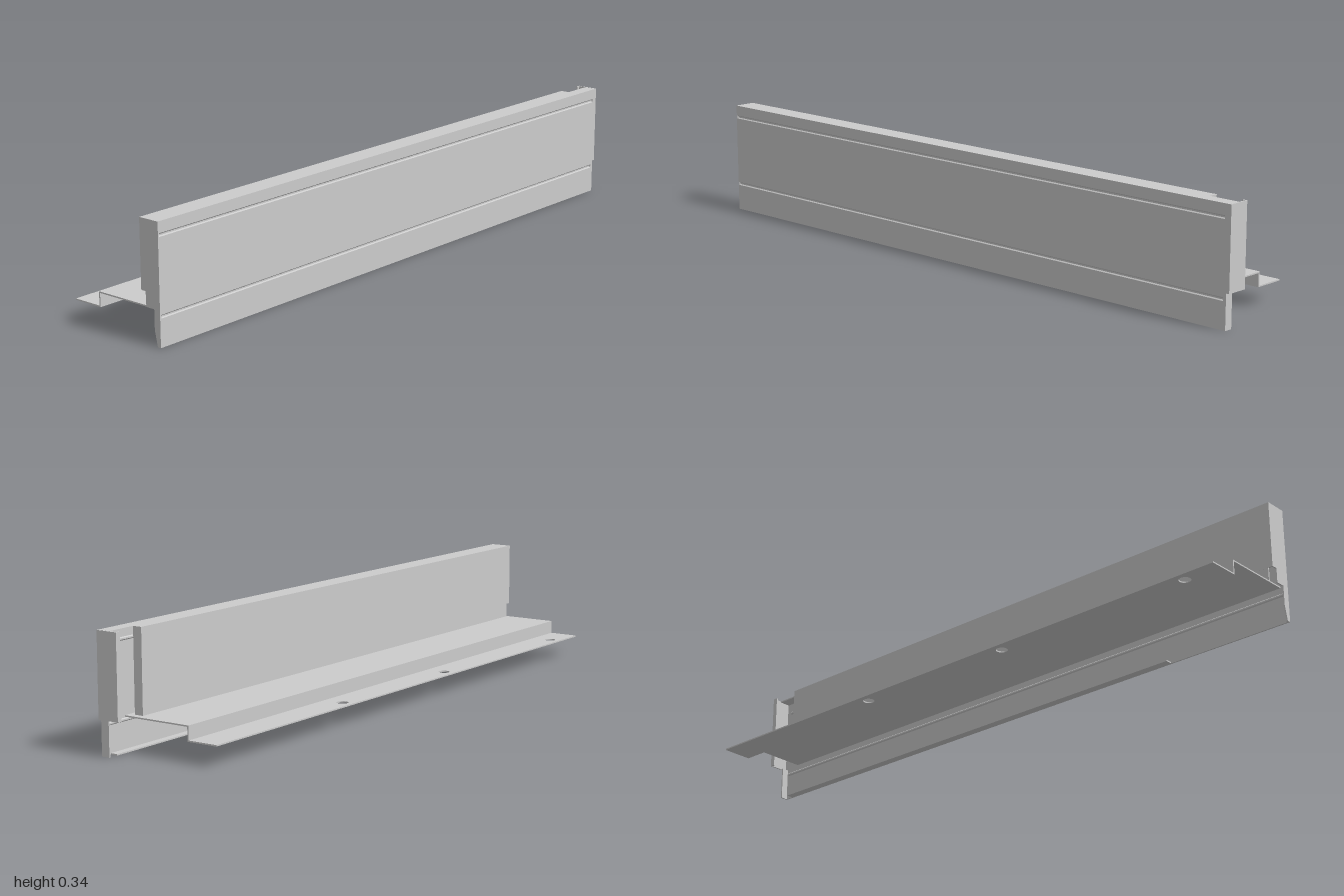
import * as THREE from 'three';

const material = new THREE.MeshStandardMaterial({ color: 0xcccccc, side: THREE.DoubleSide, flatShading: true });
const T = 0.004; // sheet thickness

export function createModel() {
  const group = new THREE.Group();

  const add = (name, geometry) => {
    const mesh = new THREE.Mesh(geometry, material);
    mesh.name = name;
    group.add(mesh);
  };
  const outline = (points) => new THREE.Shape(points.map(([x, y]) => new THREE.Vector2(x, y)));

  // Box given by its limits
  const box = (name, x0, x1, y0, y1, z0, z1) => {
    const g = new THREE.BoxGeometry(x1 - x0, y1 - y0, z1 - z0);
    g.translate((x0 + x1) / 2, (y0 + y1) / 2, (z0 + z1) / 2);
    add(name, g);
  };
  // Outline in x, y run along z
  const profile = (name, points, z0, z1) => {
    const g = new THREE.ExtrudeGeometry(outline(points), { depth: z1 - z0, bevelEnabled: false });
    g.translate(0, 0, z0);
    add(name, g);
  };
  // Flat sheet outlined in x, z with its upper face at the given height
  const flatSheet = (name, shape, top) => {
    const g = new THREE.ExtrudeGeometry(shape, { depth: T, bevelEnabled: false, curveSegments: 24 });
    g.rotateX(Math.PI / 2);
    g.translate(0, top, 0);
    add(name, g);
  };

  // Face panel with two pressed grooves
  const outer = [[0.164, 0]];
  const inner = [[0.16, 0]];
  for (const y of [0.085, 0.305]) {
    outer.push([0.164, y - 0.005], [0.161, y - 0.002], [0.161, y + 0.002], [0.164, y + 0.005]);
    inner.push([0.16, y - 0.005], [0.157, y - 0.002], [0.157, y + 0.002], [0.16, y + 0.005]);
  }
  outer.push([0.164, 0.342]);
  inner.push([0.16, 0.342]);
  profile('facePanel', [...outer, ...inner.reverse()], -0.98, 1);
  box('facePanelRearEdge', 0.16, 0.164, 0, 0.342, -0.99, -0.98);

  // Top flange, cut back at the rear inner corner
  flatSheet('topFlange', outline([
    [0.097, 1], [0.164, 1], [0.164, -0.995], [0.125, -0.995], [0.125, -0.9], [0.097, -0.9],
  ]), 0.342);

  // Back wall and its inward rear return
  box('backWall', 0.097, 0.097 + T, 0.145, 0.342, -0.9, 1);
  box('backWallFoot', 0.0975, 0.1015, 0.1, 0.145, -0.9, 0.985);
  box('backWallReturn', 0.097, 0.125, 0.1, 0.342, -0.9, -0.9 + T);

  // Front end cap: foot clearance on the inside, tapered below
  profile('frontCap', [
    [0.153, 0], [0.164, 0], [0.164, 0.342], [0.097, 0.342], [0.097, 0.145],
    [0.115, 0.145], [0.115, 0.102], [0.143, 0.102], [0.143, 0.045],
  ], 0.996, 1);

  // Rear end cap with a small hooked lip, and the narrow return below it
  box('rearCap', 0.097, 0.164, 0.102, 0.342, -1, -0.996);
  box('rearCapEdge', 0.16, 0.164, 0.102, 0.342, -0.996, -0.99);
  box('rearCapLip', 0.097, 0.097 + T, 0.102, 0.342, -0.996, -0.985);
  box('rearLowerReturn', 0.138, 0.164, 0, 0.102, -0.99, -0.986);

  // Inward lip along the bottom of the face panel
  box('bottomLip', 0.138, 0.16, 0, T, -0.96, 0.6);

  // Stepped shelf
  profile('shelf', [
    [0.143, 0.102], [-0.075, 0.102], [-0.075, 0.062], [-0.071, 0.062],
    [-0.071, 0.098], [0.143, 0.098],
  ], -0.92, 0.99);

  // Mounting flange with three holes
  const flange = outline([[-0.167, -0.92], [-0.071, -0.92], [-0.071, 0.99], [-0.167, 0.99]]);
  for (const z of [-0.31, 0.225, 0.875]) {
    flange.holes.push(new THREE.Path().absarc(-0.135, z, 0.017, 0, Math.PI * 2, true));
  }
  flatSheet('mountingFlange', flange, 0.062);

  return group;
}
